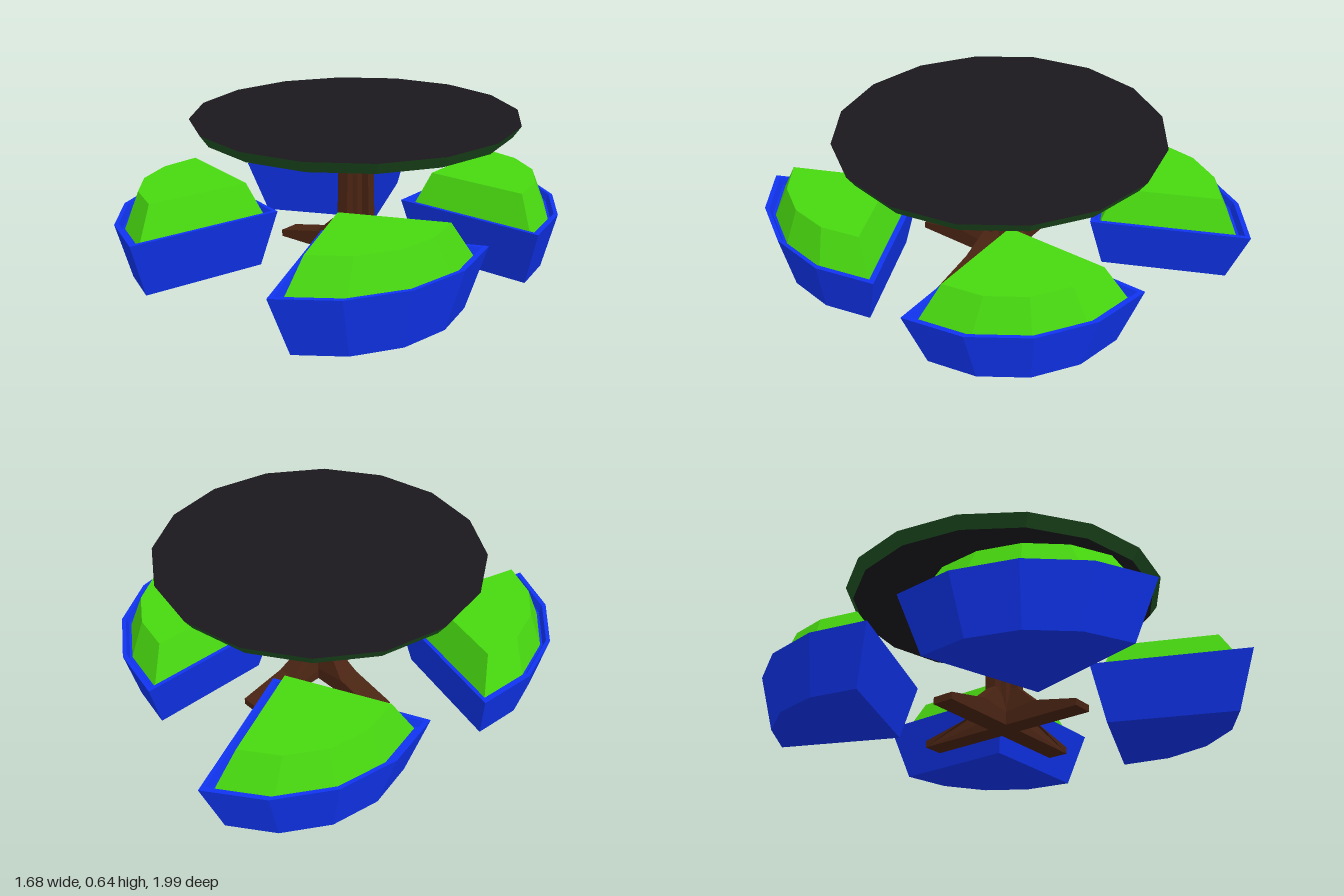
import * as THREE from 'three';

const paint = (color) => new THREE.MeshStandardMaterial({ color, flatShading: true });

function part(name, geometry, material) {
  const mesh = new THREE.Mesh(geometry, material);
  mesh.name = name;
  return mesh;
}

// Quarter-disc outline: inner corner at the origin, arc of four segments facing +x
const RADIUS = 0.68;
const CENTRE = 0.396;
const wedge = [[0, 0]];
for (let i = 0; i <= 4; i++) {
  const t = -Math.PI / 4 + (i * Math.PI) / 8;
  wedge.push([RADIUS * Math.cos(t), RADIUS * Math.sin(t)]);
}

// Stack scaled copies of the wedge, given as [scale, y], and close both ends
function loftWedge(levels) {
  const rings = levels.map(([s, y]) =>
    wedge.map(([x, z]) => [CENTRE + (x - CENTRE) * s, y, z * s]));
  const n = wedge.length;
  const first = rings[0];
  const last = rings[rings.length - 1];
  const bottom = [CENTRE, levels[0][1], 0];
  const top = [CENTRE, levels[levels.length - 1][1], 0];
  const p = [];
  for (let j = 0; j < n; j++) {
    const k = (j + 1) % n;
    for (let i = 0; i < rings.length - 1; i++) {
      const [a, b, c, d] = [rings[i][j], rings[i][k], rings[i + 1][k], rings[i + 1][j]];
      p.push(...a, ...d, ...c, ...a, ...c, ...b);
    }
    p.push(...bottom, ...first[j], ...first[k]);
    p.push(...top, ...last[k], ...last[j]);
  }
  const g = new THREE.BufferGeometry();
  g.setAttribute('position', new THREE.Float32BufferAttribute(p, 3));
  g.computeVertexNormals();
  return g;
}

// One plank of the pedestal: mirrored profile whose feet spread sideways
function plankGeometry() {
  const half = [[0.4, 0], [0.4, 0.03], [0.19, 0.075], [0.088, 0.17],
    [0.08, 0.495], [0.12, 0.535], [0.31, 0.575], [0.31, 0.592]];
  const outline = [...half, ...half.map(([x, y]) => [-x, y]).reverse()];
  const shape = new THREE.Shape(outline.map(([x, y]) => new THREE.Vector2(x, y)));
  const g = new THREE.ExtrudeGeometry(shape, { depth: 2, bevelEnabled: false });
  g.translate(0, 0, -1);
  const pos = g.attributes.position;
  for (let i = 0; i < pos.count; i++) {
    const spread = pos.getY(i) < 0.3
      ? THREE.MathUtils.clamp((Math.abs(pos.getX(i)) - 0.09) / 0.1, 0, 1) : 0;
    pos.setZ(i, pos.getZ(i) * (0.02 + 0.027 * spread));
  }
  g.computeVertexNormals();
  return g;
}

export function createModel() {
  const model = new THREE.Group();
  model.name = 'tableWithSeats';
  const blue = paint(0x1034f0);
  const green = paint(0x48d810);
  const brown = paint(0x4a2413);
  const darkGreen = paint(0x205222);
  const black = paint(0x1a181d);

  // Round table top with a bevelled edge
  const top = new THREE.CylinderGeometry(0.705, 0.67, 0.05, 16);
  const tableTop = part('tableTop', top, [darkGreen, black, black]);
  tableTop.position.y = 0.615;
  model.add(tableTop);

  // Cross-shaped pedestal
  const pedestal = new THREE.Group();
  pedestal.name = 'pedestal';
  const plank = plankGeometry();
  for (let i = 0; i < 2; i++) {
    const mesh = part('pedestalPlank', plank, brown);
    mesh.rotation.y = (i * Math.PI) / 2;
    pedestal.add(mesh);
  }
  const core = part('pedestalCore', new THREE.CylinderGeometry(0.055, 0.06, 0.585, 8), brown);
  core.position.y = 0.2955;
  pedestal.add(core);
  model.add(pedestal);

  // Four seats: [corner x, corner z, facing in degrees]
  const tub = loftWedge([[0.8, 0], [1, 0.25], [0.94, 0.25], [0.9, 0.22]]);
  const cushion = loftWedge([[0.87, 0.215], [0.66, 0.37]]);
  const places = [[0.15, -0.13, -45], [0.115, 0.367, 21],
    [-0.175, 0.315, 150], [-0.1325, -0.3825, 200]];
  for (const [x, z, angle] of places) {
    const seat = new THREE.Group();
    seat.name = 'seat';
    seat.add(part('seatBase', tub, blue), part('seatCushion', cushion, green));
    seat.position.set(x, 0, z);
    seat.rotation.y = -THREE.MathUtils.degToRad(angle);
    model.add(seat);
  }
  return model;
}
